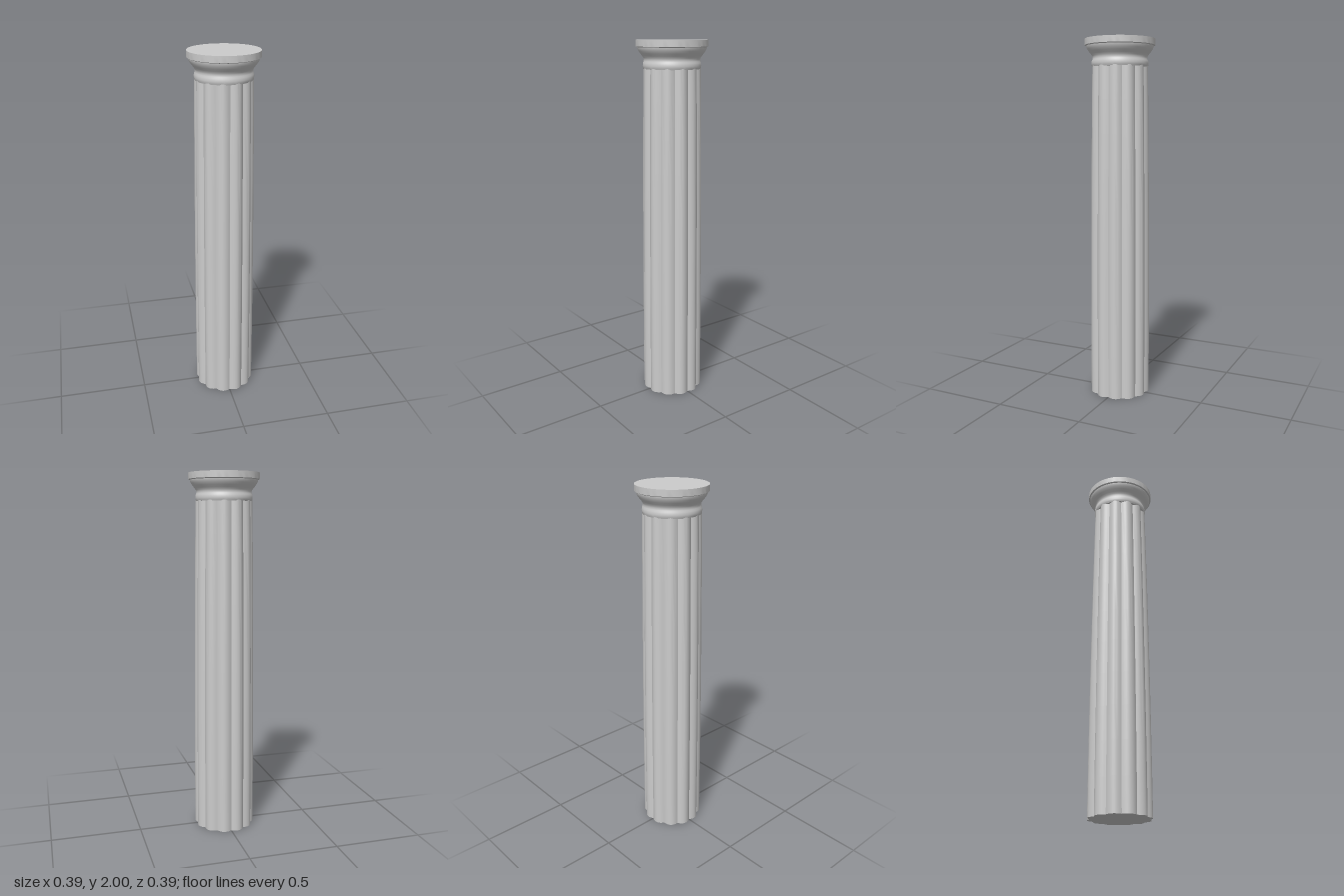
import * as THREE from 'three';
import { toCreasedNormals } from 'three/addons/utils/BufferGeometryUtils.js';

const material = new THREE.MeshStandardMaterial({ color: 0xcccccc });

function addPart(group, name, geometry, crease) {
  const mesh = new THREE.Mesh(toCreasedNormals(geometry, crease), material);
  mesh.name = name;
  group.add(mesh);
}

// Shaft: twelve convex ribs, extruded upwards and tapered with a slight swell
function shaftGeometry() {
  const ribs = 12, steps = 10, height = 1.86;
  const outline = [];
  for (let i = 0; i < ribs * steps; i++) {
    const a = (i / (ribs * steps)) * Math.PI * 2;
    const r = 0.154 + 0.016 * Math.abs(Math.sin((a * ribs) / 2));
    outline.push(new THREE.Vector2(Math.cos(a) * r, Math.sin(a) * r));
  }
  const geometry = new THREE.ExtrudeGeometry(new THREE.Shape(outline), {
    depth: height, steps: 10, bevelEnabled: false,
  });
  geometry.rotateX(-Math.PI / 2);
  const p = geometry.attributes.position;
  for (let i = 0; i < p.count; i++) {
    const t = p.getY(i) / height;
    const s = 1 - 0.09 * t * t;
    p.setX(i, p.getX(i) * s);
    p.setZ(i, p.getZ(i) * s);
  }
  return geometry;
}

// Capital: collar, hollow neck, flaring bowl and round slab
function capitalGeometry() {
  const profile = [
    [0, 1.85], [0.152, 1.85], [0.155, 1.856], [0.156, 1.868], [0.155, 1.882],
    [0.151, 1.89], [0.15, 1.9], [0.153, 1.909], [0.16, 1.919], [0.17, 1.931],
    [0.179, 1.944], [0.184, 1.956], [0.185, 1.962], [0.193, 1.966],
    [0.193, 2], [0, 2],
  ].map(([r, y]) => new THREE.Vector2(r, y));
  return new THREE.LatheGeometry(profile, 64);
}

export function createModel() {
  const group = new THREE.Group();
  group.name = 'column';
  addPart(group, 'shaft', shaftGeometry(), 0.5);
  addPart(group, 'capital', capitalGeometry(), 0.6);
  return group;
}
